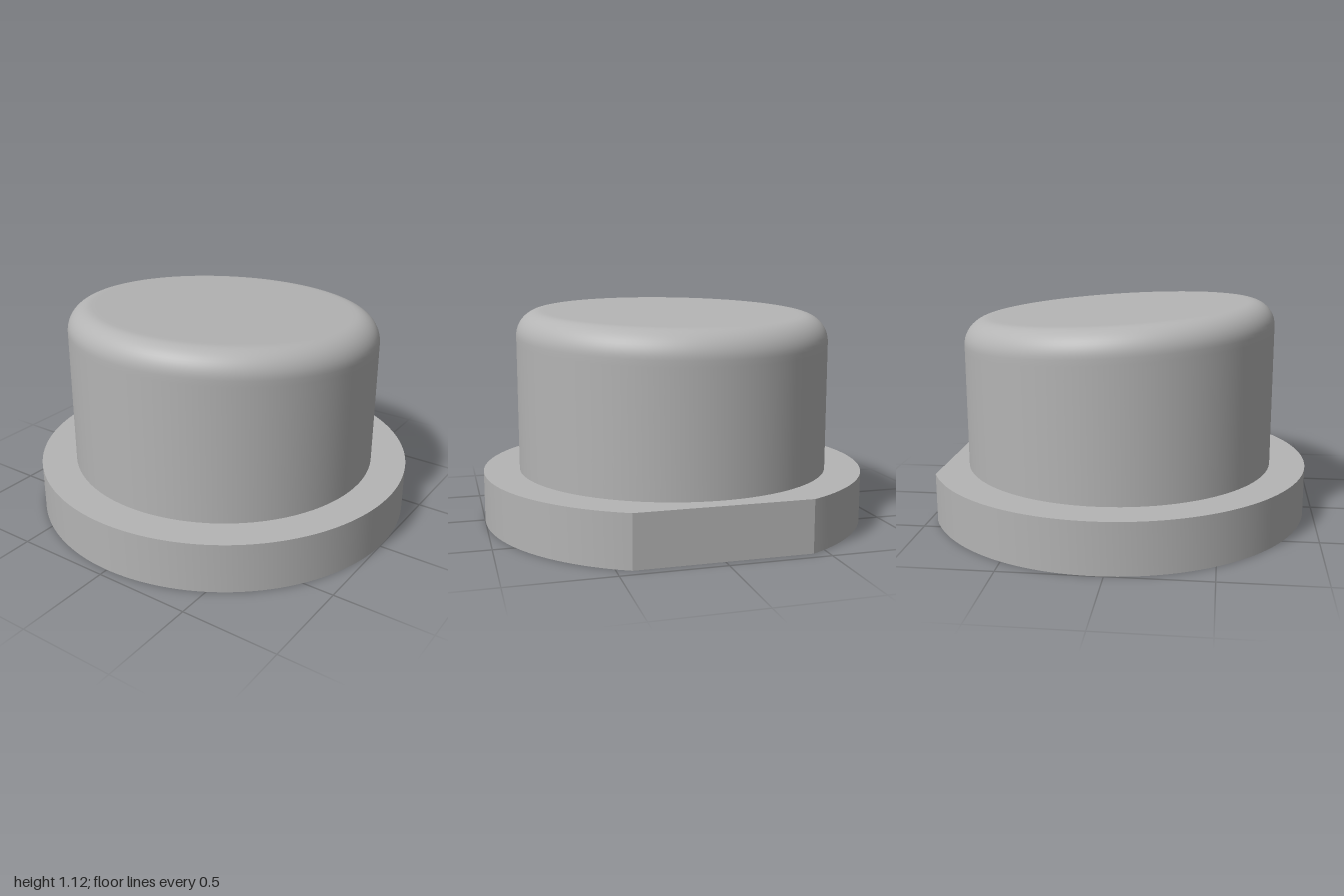
import * as THREE from 'three';
import { toCreasedNormals } from 'three/addons/utils/BufferGeometryUtils.js';

const AXIS_X = 0.047;      // shared axis of all round parts
const FLANGE_H = 0.26;
const RECESS_R = 0.57, RECESS_DEPTH = 0.155;

export function createModel() {
  const group = new THREE.Group();
  const grey = new THREE.MeshStandardMaterial({ color: 0xb4b4b4 });
  grey.name = 'plain grey';

  const add = (name, geometry) => {
    const mesh = new THREE.Mesh(geometry, grey);
    mesh.name = name;
    mesh.position.x = AXIS_X;
    group.add(mesh);
    return mesh;
  };

  // Flange: a disc with one flat side and a round recess
  const cut = Math.acos(0.95 - AXIS_X);
  const outline = new THREE.Shape();
  outline.absarc(0, 0, 1, cut, Math.PI * 2 - cut, false);
  outline.closePath();
  const hole = new THREE.Path();
  hole.absarc(0, 0, RECESS_R, 0, Math.PI * 2, true);
  outline.holes.push(hole);
  const flange = new THREE.ExtrudeGeometry(outline, { depth: FLANGE_H, bevelEnabled: false, curveSegments: 96 });
  flange.rotateX(-Math.PI / 2);
  add('flange', toCreasedNormals(flange, 0.2));

  // Recess ceiling, facing down
  const ceiling = new THREE.CircleGeometry(RECESS_R, 96);
  ceiling.rotateX(Math.PI / 2);
  add('recessCeiling', ceiling).position.y = RECESS_DEPTH;

  // Cap: a cylinder with a rounded rim and a top sloping down to +x
  const R = 0.815, TOP = 1.081, FILLET = 0.13, SLOPE = -0.063;
  const profile = [new THREE.Vector2(R, FLANGE_H), new THREE.Vector2(R, TOP - FILLET - 0.03)];
  for (let i = 0; i <= 12; i++) {
    const a = (i / 12) * Math.PI / 2;
    profile.push(new THREE.Vector2(R - FILLET + FILLET * Math.cos(a), TOP - FILLET + FILLET * Math.sin(a)));
  }
  profile.push(new THREE.Vector2(R - FILLET - 0.03, TOP), new THREE.Vector2(0, TOP));
  const cap = new THREE.LatheGeometry(profile, 96);
  const pos = cap.attributes.position;
  for (let i = 0; i < pos.count; i++) {
    if (pos.getY(i) > FLANGE_H + 0.01) pos.setY(i, pos.getY(i) + SLOPE * pos.getX(i));
  }
  add('cap', toCreasedNormals(cap, 0.6));

  return group;
}
